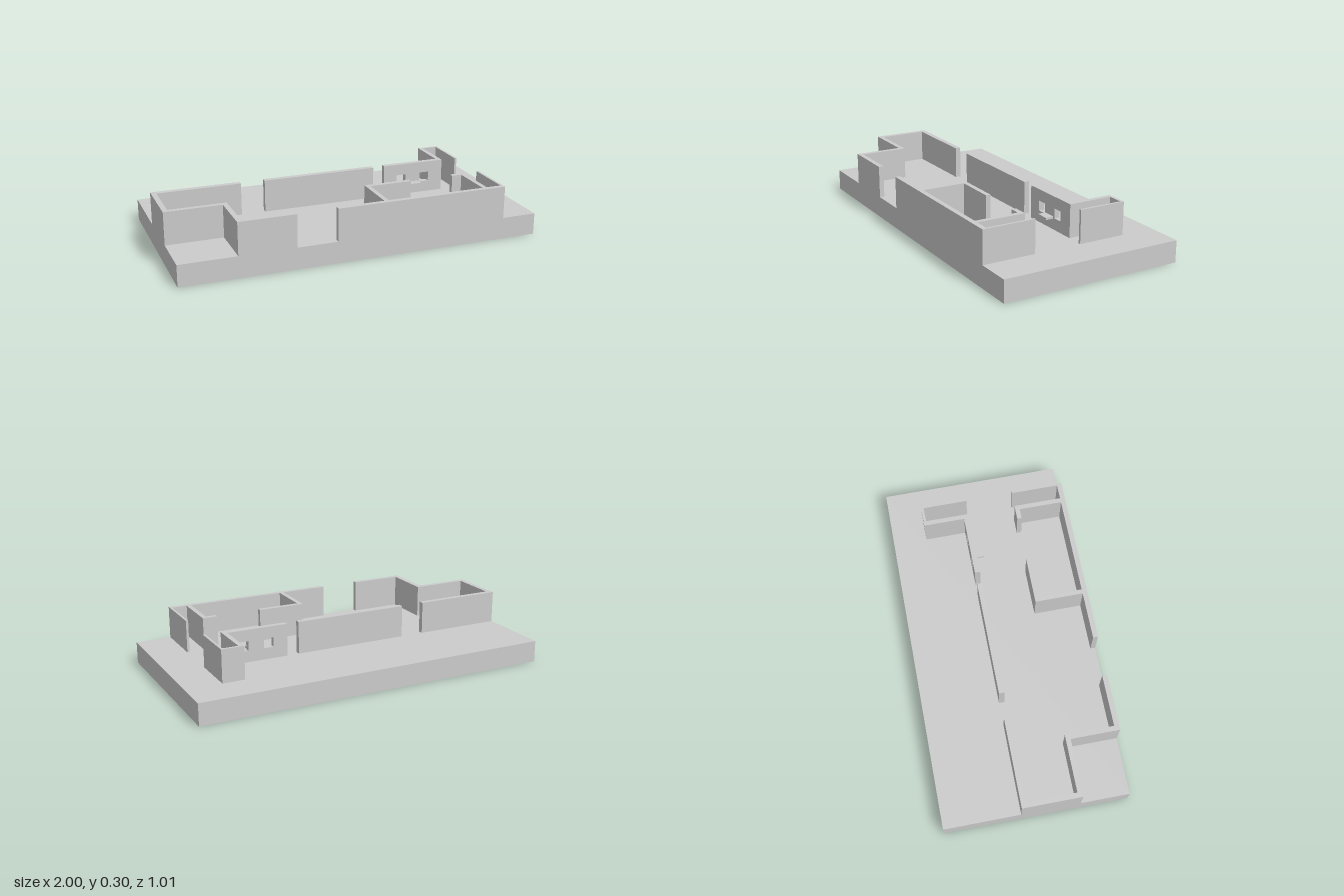
import * as THREE from 'three';

const FLOOR = 0.12, TOP = 0.3;
const material = new THREE.MeshStandardMaterial({ color: 0xcccccc, flatShading: true });

// Box given by its limits on each axis
function block(name, x0, x1, z0, z1, y0 = FLOOR, y1 = TOP) {
  const mesh = new THREE.Mesh(new THREE.BoxGeometry(x1 - x0, y1 - y0, z1 - z0), material);
  mesh.position.set((x0 + x1) / 2, (y0 + y1) / 2, (z0 + z1) / 2);
  mesh.name = name;
  return mesh;
}

function rectangle(PathType, x0, x1, y0, y1) {
  return new PathType([[x0, y0], [x1, y0], [x1, y1], [x0, y1]].map(p => new THREE.Vector2(...p)));
}

export function createModel() {
  const model = new THREE.Group();
  model.name = 'floorPlanModel';
  model.add(block('base', -1, 1, -0.505, 0.505, 0, FLOOR));

  // Wall runs: name, x from/to, z from/to
  const walls = [
    ['backWallRight', -1, -0.51, -0.085, -0.055],
    ['backWallMiddle', -0.375, 0.272, -0.085, -0.055],
    ['sideWall', -1, -0.972, -0.055, 0.212],
    ['recessWall', -1, -0.663, 0.212, 0.238],
    ['recessReturn', -0.69, -0.663, 0.238, 0.478],
    ['frontWallRight', -0.69, -0.38, 0.478, 0.505],
    ['frontWallLeft', -0.16, 0.803, 0.478, 0.505],
    ['roomDivider', 0.105, 0.13, 0.238, 0.478],
    ['roomWall', 0.105, 0.37, 0.212, 0.238],
    ['roomWallStub', 0.623, 0.706, 0.212, 0.238],
    ['roomEndWall', 0.68, 0.706, 0.238, 0.478],
    ['frontClosetScreen', 0.79, 0.803, 0.212, 0.478],
    ['backClosetSide', 0.68, 0.706, -0.3, -0.085],
    ['backClosetEnd', 0.68, 0.803, -0.315, -0.3],
    ['backClosetScreen', 0.79, 0.803, -0.3, -0.053],
  ];
  for (const wall of walls) model.add(block(...wall));

  // Back wall pierced by two small windows
  const outline = rectangle(THREE.Shape, 0.34, 0.706, FLOOR, TOP);
  for (const x of [0.42, 0.565]) {
    outline.holes.push(rectangle(THREE.Path, x, x + 0.055, 0.183, 0.237));
  }
  const windowWall = new THREE.Mesh(
    new THREE.ExtrudeGeometry(outline, { depth: 0.03, bevelEnabled: false }), material);
  windowWall.position.z = -0.085;
  windowWall.name = 'windowWall';
  model.add(windowWall);

  // Shelf on the window wall
  model.add(block('shelf', 0.48, 0.555, -0.055, -0.01, 0.178, 0.19));
  return model;
}
